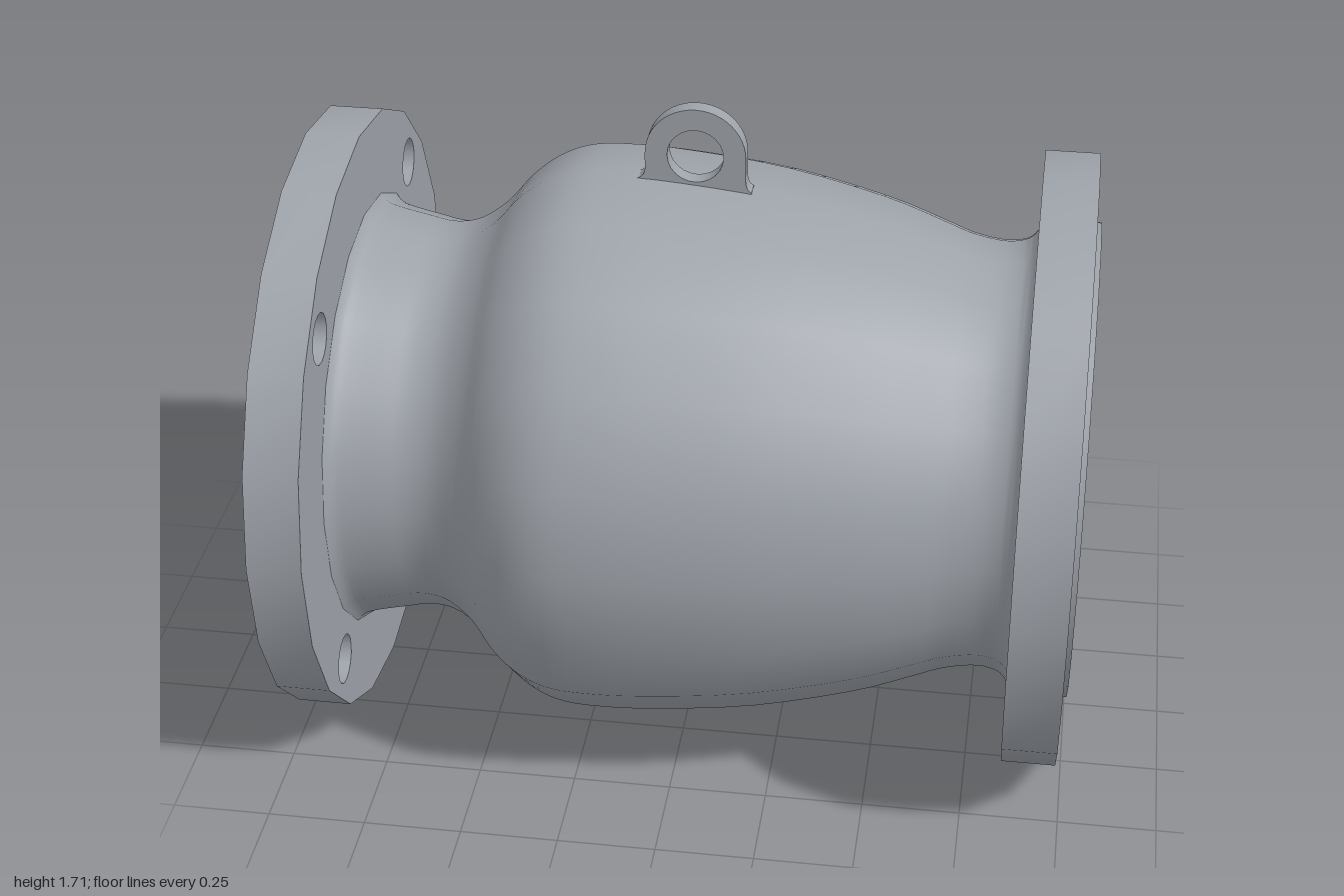
import * as THREE from 'three';
import { toCreasedNormals } from 'three/addons/utils/BufferGeometryUtils.js';

const SIDES = 20;
const AXIS_Y = 0.785;

export function createModel() {
  const model = new THREE.Group();
  const metal = new THREE.MeshStandardMaterial({ color: 0x9ea3aa });
  metal.name = 'castGrey';

  // The valve is built around its flow axis, which runs along x
  const valve = new THREE.Group();
  valve.name = 'valve';
  valve.position.y = AXIS_Y;
  model.add(valve);

  const add = (geometry, name, parent = valve, crease = 0.6) => {
    const mesh = new THREE.Mesh(toCreasedNormals(geometry, crease), metal);
    mesh.name = name;
    parent.add(mesh);
    return mesh;
  };
  const vectors = (points) => points.map(([x, r]) => new THREE.Vector2(x, r));
  const smooth = (points, count) => new THREE.SplineCurve(vectors(points)).getPoints(count);

  // Turns a profile of (x, radius) points around the flow axis
  const turned = (profile, sides) =>
    new THREE.LatheGeometry(profile.map((p) => new THREE.Vector2(p.y, p.x)), sides).rotateZ(-Math.PI / 2);

  const circle = (radius, sides, cx = 0, cy = 0) =>
    Array.from({ length: sides }, (_, i) => {
      const a = (i / sides) * Math.PI * 2;
      return new THREE.Vector2(cx + radius * Math.cos(a), cy + radius * Math.sin(a));
    });

  // Hollow casing, with a raised sealing face at each end
  const outer = smooth([
    [-0.86, 0.585], [-0.835, 0.55], [-0.8, 0.535], [-0.72, 0.518], [-0.65, 0.506], [-0.58, 0.52],
    [-0.51, 0.57], [-0.45, 0.64], [-0.38, 0.695], [-0.3, 0.727], [-0.2, 0.735], [-0.05, 0.729],
    [0.2, 0.7], [0.45, 0.643], [0.6, 0.592], [0.68, 0.563], [0.76, 0.549], [0.81, 0.555],
    [0.835, 0.57], [0.855, 0.6],
  ], 60);
  const inner = smooth([
    [0.85, 0.41], [0.75, 0.43], [0.6, 0.48], [0.4, 0.55], [0.15, 0.61], [-0.1, 0.645],
    [-0.25, 0.64], [-0.38, 0.59], [-0.48, 0.5], [-0.58, 0.43], [-0.66, 0.405], [-0.85, 0.41],
  ], 36);
  add(turned([
    ...vectors([[-1, 0.41], [-1, 0.61], [-0.98, 0.61], [-0.98, 0.585]]),
    ...outer,
    ...vectors([[0.98, 0.6], [0.98, 0.61], [1, 0.61], [1, 0.41]]),
    ...inner,
    ...vectors([[-1, 0.41]]),
  ], SIDES), 'casing');

  // Bolted flanges
  const flangeShape = new THREE.Shape(circle(0.785, SIDES));
  flangeShape.holes.push(new THREE.Path(circle(0.5, SIDES)));
  for (const sy of [-1, 1]) {
    for (const sz of [-1, 1]) {
      flangeShape.holes.push(new THREE.Path(circle(0.065, 16, 0.477 * sz, 0.477 * sy)));
    }
  }
  for (const side of [-1, 1]) {
    const flange = new THREE.ExtrudeGeometry(flangeShape, { depth: 0.137, bevelEnabled: false });
    flange.rotateY(Math.PI / 2).translate(side > 0 ? 0.847 : -0.985, 0, 0);
    add(flange, side > 0 ? 'outletFlange' : 'inletFlange');
  }

  // Streamlined core: guide shaft, closing disc and domed tail
  const dome = Array.from({ length: 9 }, (_, i) => {
    const a = (i / 8) * Math.PI / 2;
    return new THREE.Vector2(0.55 + 0.2 * Math.sin(a), i === 8 ? 0 : 0.205 * Math.cos(a));
  });
  add(turned([
    ...vectors([[-0.85, 0], [-0.85, 0.05], [-0.43, 0.05]]),
    ...smooth([[-0.43, 0.05], [-0.41, 0.2], [-0.36, 0.4], [-0.29, 0.51]], 8),
    ...smooth([[-0.22, 0.52], [-0.1, 0.48], [0.1, 0.38], [0.3, 0.28], [0.45, 0.22]], 14),
    ...dome,
  ], 32), 'core');

  // Four radial ribs at each end hold the core
  const ribShapes = {
    outletRib: [[0.3, 0.2], [0.69, 0.12], [0.74, 0.3], [0.76, 0.44], [0.6, 0.5], [0.3, 0.59]],
    inletRib: [[-0.855, 0.37], [-0.69, 0.16], [-0.65, 0.04], [-0.47, 0.04], [-0.6, 0.45], [-0.84, 0.43]],
  };
  for (const [name, points] of Object.entries(ribShapes)) {
    for (let i = 0; i < 4; i++) {
      const rib = new THREE.ExtrudeGeometry(new THREE.Shape(vectors(points)), { depth: 0.026, bevelEnabled: false });
      rib.translate(0, 0, -0.013).rotateX(i * Math.PI / 2);
      add(rib, name);
    }
  }

  // Lifting eye on top, flared where it meets the casing
  const eyeY = 1.585;
  const eye = new THREE.Shape();
  eye.moveTo(-0.15, 1.46);
  eye.lineTo(0.14, 1.46);
  eye.lineTo(0.14, 1.495);
  eye.quadraticCurveTo(0.125, 1.5, 0.125, 1.53);
  eye.lineTo(0.125, eyeY);
  eye.absarc(0, eyeY, 0.125, 0, Math.PI, false);
  eye.lineTo(-0.125, 1.545);
  eye.quadraticCurveTo(-0.125, 1.52, -0.15, 1.515);
  eye.closePath();
  eye.holes.push(new THREE.Path(circle(0.07, 24, 0, eyeY)));
  const eyeGeometry = new THREE.ExtrudeGeometry(eye, { depth: 0.044, bevelEnabled: false, curveSegments: 12 });
  add(eyeGeometry.translate(0, 0, -0.022), 'liftingEye', model);

  return model;
}
